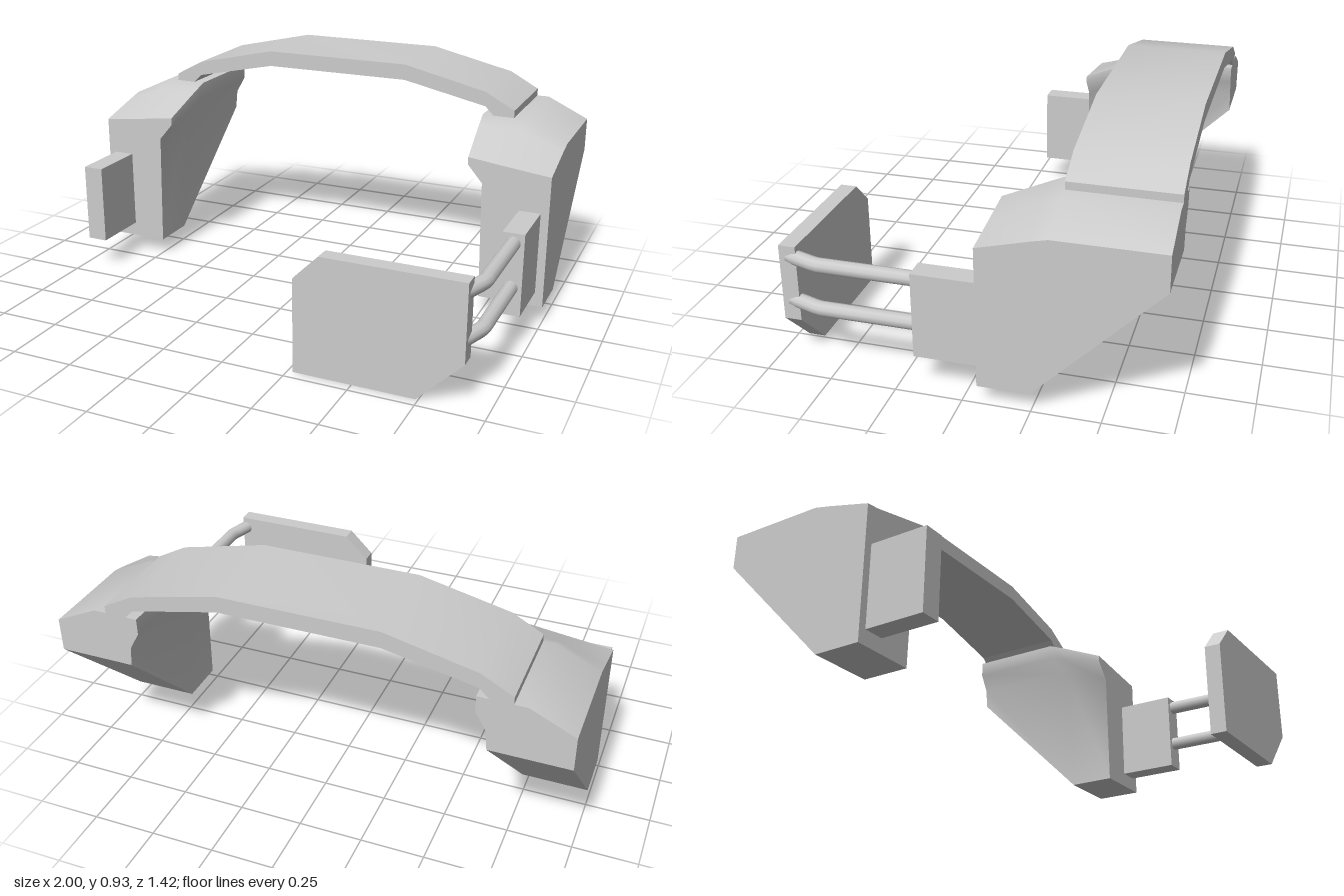
import * as THREE from 'three';
import { toCreasedNormals } from 'three/addons/utils/BufferGeometryUtils.js';

const material = new THREE.MeshStandardMaterial({ color: 0xcccccc, side: THREE.DoubleSide });

function addMesh(parent, name, geometry, crease = 0.6) {
  const mesh = new THREE.Mesh(toCreasedNormals(geometry, crease), material);
  mesh.name = name;
  parent.add(mesh);
  return mesh;
}

function extrude(points, depth, bevel = 0) {
  const shape = new THREE.Shape(points.map(([x, y]) => new THREE.Vector2(x, y)));
  return new THREE.ExtrudeGeometry(shape, {
    depth: depth - 2 * bevel, bevelEnabled: bevel > 0, bevelSegments: 1,
    bevelThickness: bevel, bevelSize: bevel, bevelOffset: -bevel,
  }).translate(0, 0, bevel);
}

// Skin between cross-sections running front to back, capped at both ends
function loft(sections) {
  const n = sections[0].points.length;
  const positions = [], index = [];
  for (const { z, points } of sections) for (const [x, y] of points) positions.push(x, y, z);
  for (let s = 0; s < sections.length - 1; s++) {
    for (let i = 0; i < n; i++) {
      const a = s * n + i, b = s * n + (i + 1) % n;
      index.push(a, a + n, b, b, a + n, b + n);
    }
  }
  const cap = (s) => THREE.ShapeUtils.triangulateShape(
    sections[s].points.map(([x, y]) => new THREE.Vector2(x, y)), []);
  const last = sections.length - 1;
  for (const [a, b, c] of cap(0)) index.push(a, b, c);
  for (const [a, b, c] of cap(last)) index.push(a + last * n, c + last * n, b + last * n);
  const geometry = new THREE.BufferGeometry();
  geometry.setAttribute('position', new THREE.Float32BufferAttribute(positions, 3));
  geometry.setIndex(index);
  return geometry;
}

// Shoulder pod outline at one depth: sloped outer shoulder, lipped inner edge
function podSection(z, bottom, outer, ridge, top, lip, lipX, neckX) {
  return {
    z,
    points: [
      [1, bottom], [1, outer], [0.83, ridge], [lipX, top], [lipX, lip],
      [neckX, lip - 0.07], [0.74 - (bottom - 0.07) * 0.09, bottom],
    ],
  };
}

function createPod() {
  const pod = new THREE.Group();
  addMesh(pod, 'podShell', loft([
    podSection(-0.055, 0.07, 0.61, 0.63, 0.65, 0.62, 0.67, 0.73),
    podSection(-0.245, 0.07, 0.66, 0.725, 0.73, 0.67, 0.655, 0.7),
    podSection(-0.31, 0.136, 0.675, 0.755, 0.755, 0.69, 0.65, 0.69),
    podSection(-0.71, 0.54, 0.675, 0.755, 0.755, 0.69, 0.65, 0.69),
  ]), 0.75);
  // Upright mounting block on the pod's front face
  addMesh(pod, 'mountBlock', new THREE.BoxGeometry(0.085, 0.33, 0.27).translate(0.925, 0.295, 0.053));
  return pod;
}

export function createModel() {
  const model = new THREE.Group();
  model.name = 'headset';

  // Arched headband
  const half = [[0.31, 0.93], [0.66, 0.85], [0.78, 0.785], [0.78, 0.75],
    [0.7, 0.75], [0.66, 0.79], [0.31, 0.865]];
  const mirrored = half.map(([x, y]) => [-x, y]).reverse();
  const band = addMesh(model, 'headband', extrude([...half, ...mirrored], 0.4), 0.45);
  band.position.z = -0.71;

  // Pods with mounting blocks on both sides
  for (const side of [1, -1]) {
    const pod = createPod();
    pod.name = side > 0 ? 'leftPod' : 'rightPod';
    pod.scale.x = side;
    model.add(pod);
  }

  // Pair of bent rods carrying the eyepiece
  for (const y of [0.42, 0.243]) {
    const path = new THREE.CurvePath();
    const pts = [[0.925, 0.15], [0.925, 0.56], [0.885, 0.68]].map(([x, z]) => new THREE.Vector3(x, y, z));
    path.add(new THREE.LineCurve3(pts[0], pts[1]));
    path.add(new THREE.LineCurve3(pts[1], pts[2]));
    addMesh(model, 'eyepieceRod', new THREE.TubeGeometry(path, 24, 0.028, 10, false), 0.8);
  }

  // Flat eyepiece panel with clipped corners
  const panel = addMesh(model, 'eyepiecePanel', extrude([
    [0.27, 0], [0.74, 0], [0.91, 0.17], [0.91, 0.47], [0.37, 0.47], [0.27, 0.37],
  ], 0.065));
  panel.position.z = 0.645;

  return model;
}
